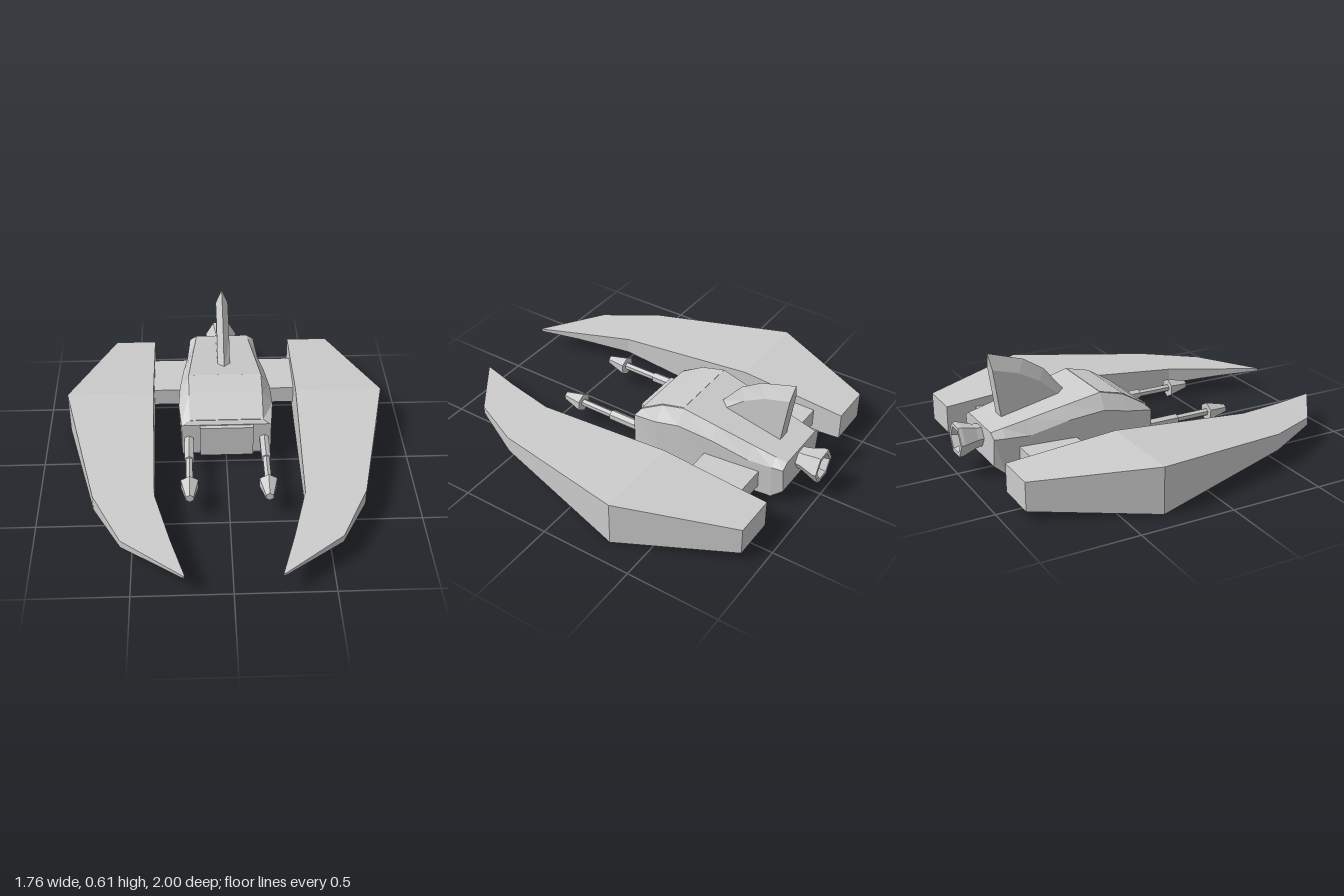
import * as THREE from 'three';

const material = new THREE.MeshStandardMaterial({ color: 0xcccccc, flatShading: true });
const openMaterial = new THREE.MeshStandardMaterial({ color: 0xcccccc, flatShading: true, side: THREE.DoubleSide });

function part(name, geometry, mat = material) {
  const mesh = new THREE.Mesh(geometry, mat);
  mesh.name = name;
  return mesh;
}

function box(name, w, h, d, x, y, z) {
  const mesh = part(name, new THREE.BoxGeometry(w, h, d));
  mesh.position.set(x, y, z);
  return mesh;
}

// Closed skin over rings that run back to front, each counter-clockwise seen from the front
function loft(rings) {
  const pos = [];
  const tri = (a, b, c) => pos.push(...a, ...b, ...c);
  const n = rings[0].length;
  for (let i = 0; i < rings.length - 1; i++) {
    for (let j = 0; j < n; j++) {
      const k = (j + 1) % n;
      const a = rings[i][j], b = rings[i][k], c = rings[i + 1][k], d = rings[i + 1][j];
      tri(a, b, c);
      tri(a, c, d);
    }
  }
  const back = rings[0], front = rings[rings.length - 1];
  for (let j = 1; j < n - 1; j++) {
    tri(back[0], back[j + 1], back[j]);
    tri(front[0], front[j], front[j + 1]);
  }
  const g = new THREE.BufferGeometry();
  g.setAttribute('position', new THREE.Float32BufferAttribute(pos, 3));
  g.computeVertexNormals();
  return g;
}

// Hull: z, roof x, roof y, shoulder x, shoulder y, floor x, floor y
function hull() {
  const sections = [
    [-0.87, 0.15, 0.255, 0.19, 0.23, 0.17, 0.08],
    [-0.81, 0.155, 0.267, 0.195, 0.226, 0.185, 0.03],
    [-0.68, 0.167, 0.294, 0.207, 0.222, 0.2, 0.03],
    [-0.48, 0.184, 0.336, 0.23, 0.27, 0.22, 0.03],
    [-0.29, 0.2, 0.375, 0.25, 0.294, 0.24, 0.03],
    [-0.16, 0.2, 0.34, 0.258, 0.267, 0.245, 0.03],
    [-0.03, 0.2, 0.26, 0.245, 0.242, 0.243, 0.03],
    [-0.015, 0.235, 0.24, 0.243, 0.235, 0.243, 0.05],
  ];
  return loft(sections.map(([z, rx, ry, sx, sy, fx, fy]) => [
    [fx, fy, z], [sx, sy, z], [rx, ry, z], [-rx, ry, z], [-sx, sy, z], [-fx, fy, z],
  ]));
}

// Thin raised panel on the front of the roof: z, y
function windscreen() {
  const line = [[-0.29, 0.377], [-0.16, 0.344], [-0.03, 0.263]];
  return loft(line.map(([z, y]) => [
    [0.195, y - 0.02, z], [0.195, y, z], [-0.195, y, z], [-0.195, y - 0.02, z],
  ]));
}

// Tail fin with a bevelled leading edge: ridge z, y, then side z, y
function fin() {
  const w = 0.035;
  const sections = [
    [-0.81, 0.61, -0.8, 0.53, -0.765],
    [-0.62, 0.55, -0.66, 0.49, -0.66],
    [-0.51, 0.48, -0.55, 0.43, -0.55],
    [-0.4, 0.345, -0.445, 0.34, -0.445],
  ];
  return loft(sections.map(([rz, ry, sz, sy, bz]) => [
    [w, 0.27, bz], [w, sy, sz], [0, ry, rz], [-w, sy, sz], [-w, 0.27, bz],
  ]));
}

// Curved wing blade: z, inner x, outer x, bottom y, top y
function wing(side) {
  const sections = [
    [-0.9, 0.4, 0.63, 0.05, 0.2],
    [-0.31, 0.4, 0.88, 0, 0.245],
    [0.47, 0.385, 0.7, 0.085, 0.174],
    [0.77, 0.305, 0.55, 0.106, 0.148],
    [1, 0.235, 0.245, 0.117, 0.132],
  ];
  return loft(sections.map(([z, xi, xo, y0, y1]) => {
    const ring = [[xi, y0], [xo, y0], [xo, y1], [xi, y1]].map(([x, y]) => [x * side, y, z]);
    return side > 0 ? ring : ring.reverse();
  }));
}

// Six-sided gun parts along z, from z0 to z1
function barrel(name, r0, r1, z0, z1) {
  const mesh = part(name, new THREE.CylinderGeometry(r1, r0, z1 - z0, 6).rotateX(Math.PI / 2));
  mesh.position.z = (z0 + z1) / 2;
  return mesh;
}

function gun(name) {
  const group = new THREE.Group();
  group.name = name;
  group.add(
    barrel('gunSleeve', 0.028, 0.028, -0.05, 0.16),
    barrel('gunBarrel', 0.02, 0.02, 0.16, 0.36),
    barrel('gunHead', 0.053, 0.023, 0.35, 0.465),
  );
  return group;
}

// Six-sided flared exhaust with a hollow
function nozzle() {
  const profile = [[0.055, -0.03], [0.062, 0.03], [0.09, 0.11], [0.09, 0.13], [0.068, 0.13], [0.045, 0.05], [0, 0.05]];
  const g = new THREE.LatheGeometry(profile.map(([r, y]) => new THREE.Vector2(r, y)), 6);
  return g.rotateX(-Math.PI / 2).rotateZ(Math.PI / 6);
}

export function createModel() {
  const model = new THREE.Group();
  model.name = 'spacecraft';
  model.add(
    part('hull', hull()),
    part('windscreen', windscreen()),
    part('tailFin', fin()),
    box('nosePanel', 0.29, 0.185, 0.04, 0, 0.143, -0.01),
  );

  const exhaust = part('exhaustNozzle', nozzle(), openMaterial);
  exhaust.position.set(0, 0.187, -0.87);
  model.add(exhaust);

  for (const [side, label] of [[1, 'left'], [-1, 'right']]) {
    model.add(part(label + 'Wing', wing(side)));
    model.add(box(label + 'Pylon', 0.26, 0.1, 0.3, side * 0.28, 0.12, -0.59));
    const g = gun(label + 'Gun');
    g.position.set(side * 0.205, 0.14, 0);
    model.add(g);
  }
  return model;
}
